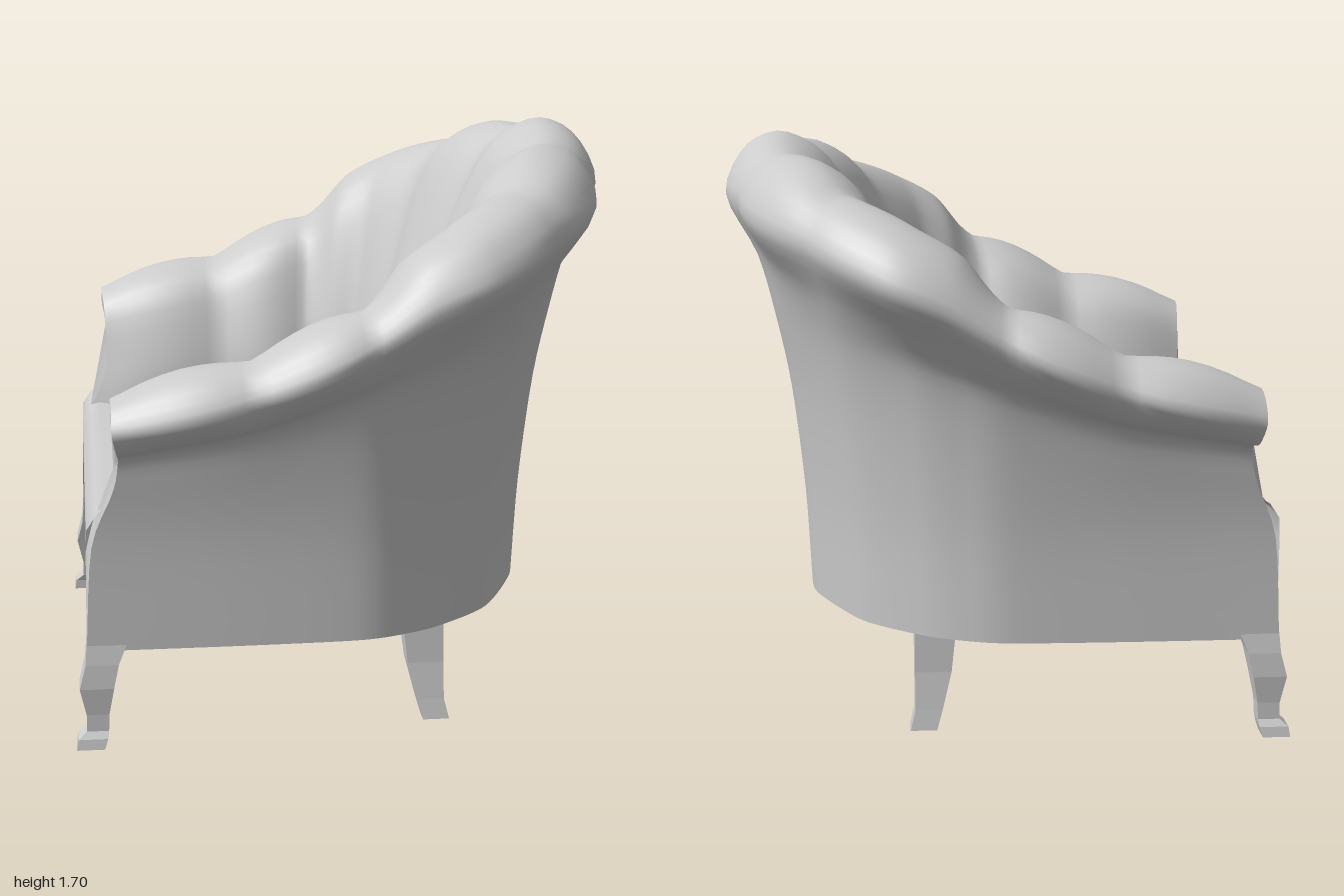
import * as THREE from 'three';

const material = new THREE.MeshStandardMaterial({ color: 0xcccccc, side: THREE.DoubleSide });
const lerp = THREE.MathUtils.lerp;

// Turns rows of points into one smooth surface.
function gridGeometry(rows) {
  const n = rows[0].length, pos = [], idx = [];
  rows.forEach(r => r.forEach(p => pos.push(p.x, p.y, p.z)));
  for (let i = 0; i < rows.length - 1; i++)
    for (let j = 0; j < n - 1; j++) {
      const a = i * n + j, b = a + n;
      idx.push(a, b, a + 1, b, b + 1, a + 1);
    }
  const g = new THREE.BufferGeometry();
  g.setAttribute('position', new THREE.Float32BufferAttribute(pos, 3));
  g.setIndex(idx);
  g.computeVertexNormals();
  return g;
}

function addMesh(group, name, geometry, mat = material) {
  const m = new THREE.Mesh(geometry, mat);
  m.name = name;
  group.add(m);
  return m;
}

// Stations from arm front to middle of the back; k counts the padded channels.
// Each plan pair is [x, z]: base, neck below the roll, outside of roll, seat line.
const stations = [
  { k: 0, base: [-.78, .755], neck: [-.68, .81], outer: [-.70, .925], seat: [-.77, .64], yN: .87, yT: 1.03 },
  { k: 1, base: [-.33, .755], neck: [-.31, .83], outer: [-.30, .95], seat: [-.31, .58], yN: .93, yT: 1.13 },
  { k: 2, base: [.0, .745], neck: [.01, .83], outer: [.02, .945], seat: [-.04, .53], yN: 1.02, yT: 1.265 },
  { k: 2.25, base: [.13, .71], neck: [.145, .805], outer: [.18, .925], seat: [.05, .51], yN: 1.06, yT: 1.385 },
  { k: 2.5, base: [.25, .645], neck: [.29, .75], outer: [.34, .88], seat: [.13, .475], yN: 1.1, yT: 1.455 },
  { k: 3, base: [.42, .48], neck: [.485, .58], outer: [.57, .69], seat: [.13, .34], yN: 1.13, yT: 1.56 },
  { k: 4, base: [.55, .18], neck: [.65, .21], outer: [.765, .22], seat: [.165, .14], yN: 1.15, yT: 1.64 },
  { k: 4.5, base: [.57, 0], neck: [.67, 0], outer: [.77, 0], seat: [.16, 0], yN: 1.15, yT: 1.66 },
];

// x of the arm's front edge at each section point, curving back above the seat
const armEdge = [-.78, -.76, -.695, -.68, -.685, -.70, -.70, -.70, -.69, -.69, -.75, -.775];

// Section of the upholstery: up the outside, over the roll, down to the seat.
// The roll overhangs sharply at the arms and flares gently at the back.
function section({ k, base, neck, outer, seat, yN, yT }) {
  const mix = (a, b, t) => [lerp(a[0], b[0], t), lerp(a[1], b[1], t)];
  const t = THREE.MathUtils.smoothstep(k, 0, 3.8);
  const top = mix(neck, seat, lerp(.14, .09, t)), h = f => lerp(yN, yT, f), d = f => lerp(.55, yT, f);
  const at = (p, y) => new THREE.Vector3(p[0], y, p[1]);
  const pts = [
    at(base, .29), at(mix(base, neck, .18), .6), at(mix(base, neck, .55), lerp(.65, yN, .55)), at(neck, yN),
    at(mix(neck, outer, lerp(.72, .42, t)), h(lerp(.18, .38, t))),
    at(outer, h(lerp(.6, .73, t))), at(mix(top, outer, .65), h(.95)),
    at(top, yT), at(mix(seat, top, lerp(.44, .72, t)), d(lerp(.88, .9, t))), at(mix(seat, top, lerp(.12, .34, t)), d(.52)),
    at(mix(seat, top, lerp(.04, .1, t)), d(.2)), at(seat, .55),
  ];
  if (k === 0) pts.forEach((p, j) => { p.x = armEdge[j]; });
  return pts;
}

function shellRows() {
  const mirror = p => new THREE.Vector3(p.x, p.y, -p.z);
  const half = stations.map(section);
  const ring = [...half, ...half.slice(0, -1).reverse().map(s => s.map(mirror))];
  const ks = stations.map(s => s.k);
  const kAll = [...ks, ...ks.slice(0, -1).reverse().map(k => 9 - k)];
  const rails = half[0].map((_, j) => new THREE.CatmullRomCurve3(ring.map(s => s[j]), false, 'catmullrom', .4));
  // How far each section point swells outward and upward in a channel
  const swellOut = [0, 0, 0, 0, .01, .045, .03, 0, -.03, -.04, -.035, -.025];
  const swellUp = [0, 0, 0, 0, 0, 0, .03, .04, .025, 0, 0, 0];
  const rows = [], segments = kAll.length - 1, steps = 8;
  for (let i = 0; i <= segments * steps; i++) {
    const u = i / steps, s = Math.min(Math.floor(u), segments - 1);
    const k = lerp(kAll[s], kAll[s + 1], u - s);
    const swell = Math.hypot(Math.sin(Math.PI * k), .2);
    const pts = rails.map(c => c.getPoint(u / segments));
    const dir = pts[5].clone().sub(pts[11]).setY(0).normalize();
    pts.forEach((p, j) => {
      p.addScaledVector(dir, swellOut[j] * swell);
      p.y += swellUp[j] * swell;
    });
    rows.push(new THREE.CatmullRomCurve3(pts, false, 'catmullrom', .45).getPoints(44));
  }
  return rows;
}

// End panel closing an arm.
function armFront(row) {
  const side = Math.sign(row[0].z);
  const pts = [...row, new THREE.Vector3(-.78, .29, side * .69)];
  const faces = THREE.ShapeUtils.triangulateShape(pts.map(p => new THREE.Vector2(p.z, p.y)), []);
  const g = new THREE.BufferGeometry().setFromPoints(pts);
  g.setIndex(faces.flat());
  g.computeVertexNormals();
  return g;
}

// Seat deck with raised front corners that rolls over into a shaped apron.
function seatRows() {
  const rows = [];
  for (let i = 0; i <= 32; i++) {
    const s = i / 16 - 1, z = Math.abs(s * .74);
    const drop = .045 * THREE.MathUtils.smoothstep(.32 - z, 0, .17);
    const dome = .025 * (1 - s * s), corner = .04 * s ** 8;
    const profile = [[-.775, .29 - drop, .745], [-.775, .42, .745], [-.775, .58, .75], [-.773, .65, .755],
      [-.745, .665 + corner * .7, .755], [-.715, .67 + corner, .745], [-.6, .67 + dome * .6, .67],
      [-.3, .67 + dome, .66], [0, .67 + dome, .62], [.24, .665, .58]];
    rows.push(profile.map(([x, y, w]) => new THREE.Vector3(x, y, s * w)));
  }
  return rows;
}

// Four-sided leg through levels of [y, x min, x max, z min, z max].
function legGeometry(levels) {
  const pos = [], idx = [];
  levels.forEach(([y, x0, x1, z0, z1]) => pos.push(x0, y, z0, x0, y, z1, x1, y, z1, x1, y, z0));
  for (let i = 0; i < levels.length - 1; i++)
    for (let j = 0; j < 4; j++) {
      const a = i * 4 + j, b = i * 4 + (j + 1) % 4;
      idx.push(a, a + 4, b, b, a + 4, b + 4);
    }
  const e = (levels.length - 1) * 4;
  idx.push(e, e + 2, e + 1, e, e + 3, e + 2);
  const g = new THREE.BufferGeometry();
  g.setAttribute('position', new THREE.Float32BufferAttribute(pos, 3));
  g.setIndex(idx);
  g.computeVertexNormals();
  return g;
}

const frontLeg = [[.31, -.78, -.665, .65, .755], [.25, -.785, -.69, .66, .765], [.18, -.803, -.705, .675, .77],
  [.1, -.785, -.72, .69, .762], [.05, -.785, -.722, .695, .762], [.03, -.81, -.725, .70, .775], [0, -.815, -.735, .70, .78]];
const backLeg = [[.42, .14, .27, .49, .61], [.29, .15, .27, .51, .62], [.17, .163, .27, .54, .625],
  [.06, .19, .27, .57, .64], [0, .207, .285, .585, .65]];

export function createModel() {
  const model = new THREE.Group();
  model.name = 'armchair';

  // Padded shell and arm ends
  const rows = shellRows();
  addMesh(model, 'upholsteredShell', gridGeometry(rows));
  addMesh(model, 'leftArmFront', armFront(rows[0]));
  addMesh(model, 'rightArmFront', armFront(rows[rows.length - 1]));

  // Seat with apron
  addMesh(model, 'seatAndApron', gridGeometry(seatRows()));

  // Legs, mirrored across the chair
  const legMaterial = material.clone();
  legMaterial.flatShading = true;
  for (const side of [1, -1])
    for (const [name, levels] of [['frontLeg', frontLeg], ['backLeg', backLeg]])
      addMesh(model, name, legGeometry(levels), legMaterial).scale.z = side;

  return model;
}
